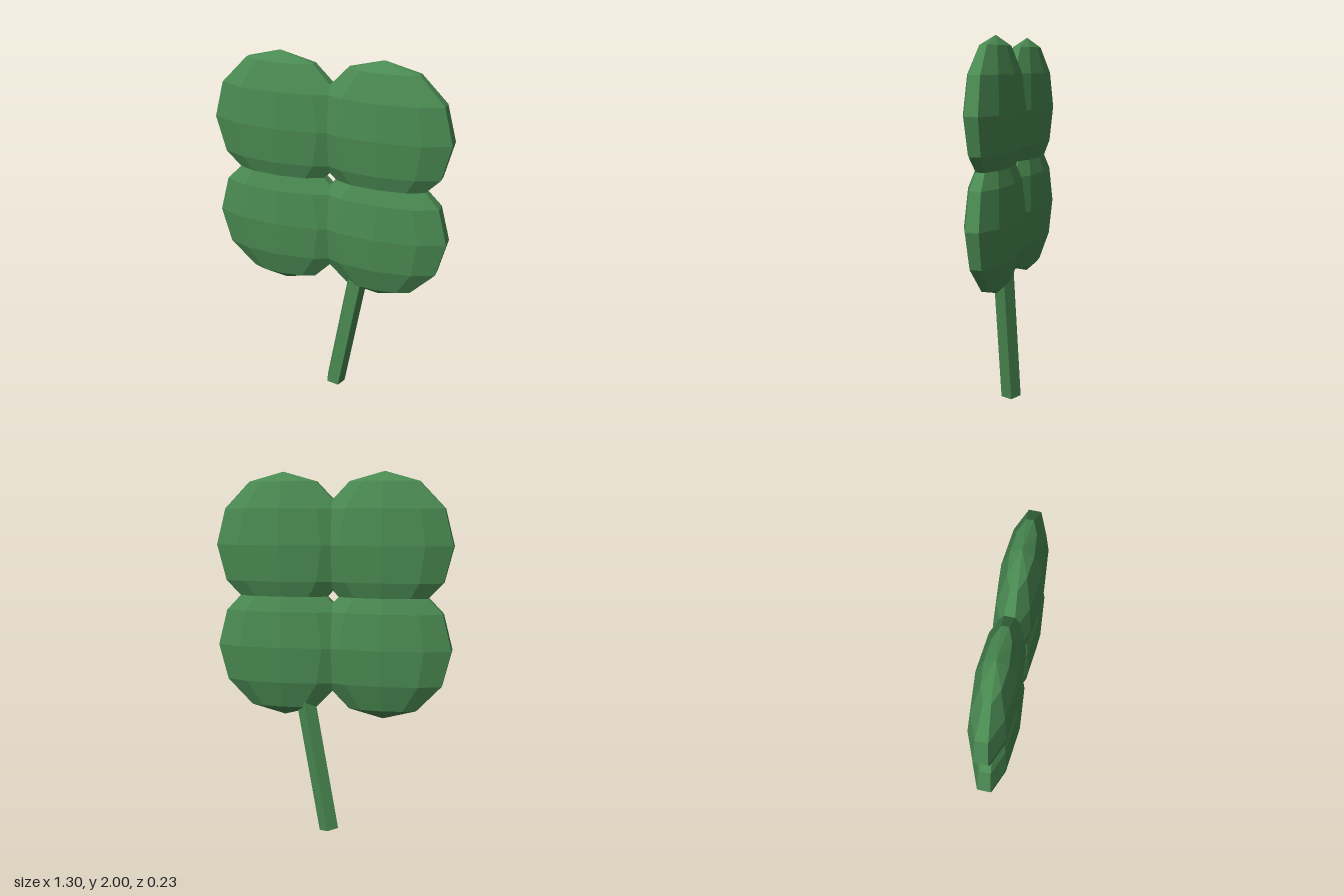
import * as THREE from 'three';

export function createModel() {
  const model = new THREE.Group();
  model.name = 'fourLeafClover';
  const green = new THREE.MeshStandardMaterial({ color: 0x4a8a52, flatShading: true });
  green.name = 'leafGreen';

  // Four flattened low-poly leaves, each with a vertex row facing front and back
  const leafGeo = new THREE.SphereGeometry(0.39, 10, 6, Math.PI / 10);
  leafGeo.scale(1, 1, 0.295);
  for (const [row, y] of [['upper', 1.61], ['lower', 1.055]]) {
    for (const [side, x] of [['Left', 0.277], ['Right', -0.277]]) {
      const leaf = new THREE.Mesh(leafGeo, green);
      leaf.name = `${row}${side}Leaf`;
      leaf.position.set(x, y, 0);
      model.add(leaf);
    }
  }

  // Five-sided stem with a flat front, leaning into the lower left leaf
  const length = 0.82;
  const stemGeo = new THREE.CylinderGeometry(0.057, 0.057, length, 5, 1, false, Math.PI);
  stemGeo.translate(0, length / 2, 0);
  const stem = new THREE.Mesh(stemGeo, green);
  stem.name = 'stem';
  stem.position.set(0.023, 0.0095, 0);
  stem.rotation.z = -THREE.MathUtils.degToRad(10);
  model.add(stem);

  return model;
}
